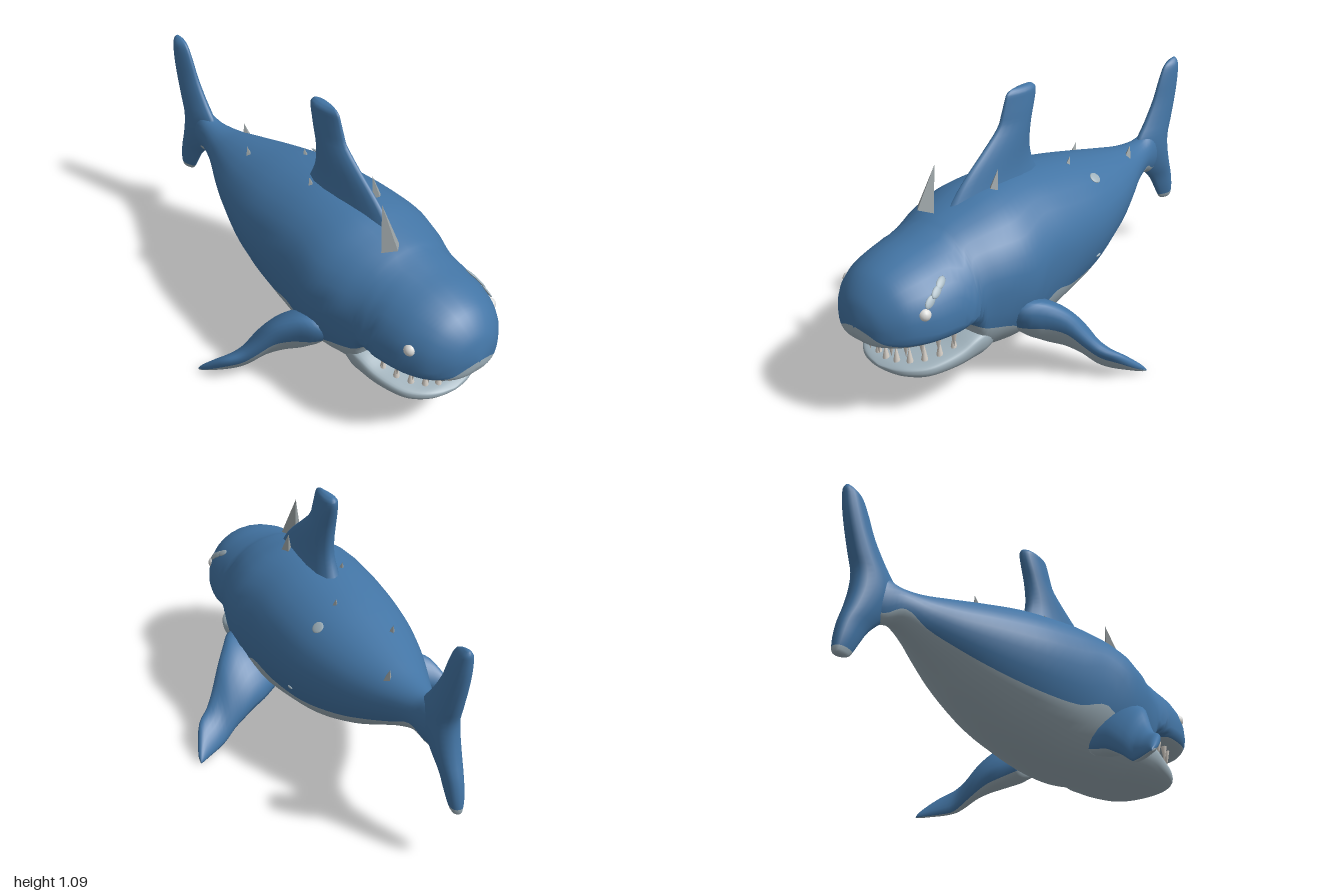
import * as THREE from 'three';

const mat = (name, color) => Object.assign(new THREE.MeshStandardMaterial({ color }), { name });

// Catmull-Rom subdivision of rows of numbers
function smooth(rows, n) {
  const out = [], at = i => rows[Math.max(0, Math.min(rows.length - 1, i))];
  for (let i = 0; i < rows.length - 1; i++) for (let k = 0; k < n; k++) {
    const t = k / n;
    out.push(rows[i].map((b, c) => {
      const a = at(i - 1)[c], d = at(i + 1)[c], e = at(i + 2)[c];
      return b + 0.5 * t * (d - a + t * (2 * a - 5 * b + 4 * d - e + t * (3 * (b - d) + e - a)));
    }));
  }
  out.push(rows[rows.length - 1]);
  return out;
}

// Closed skin over rings of points; pick(i, j) gives the material of each face
function loft(name, rings, materials, pick = () => 0) {
  const K = rings[0].length, N = rings.length, pos = [], lists = materials.map(() => []);
  const mid = r => r.reduce((s, p) => s.map((v, c) => v + p[c] / K), [0, 0, 0]);
  rings.forEach(r => r.forEach(p => pos.push(...p)));
  pos.push(...mid(rings[0]), ...mid(rings[N - 1]));
  for (let j = 0; j < K; j++) {
    const j2 = (j + 1) % K;
    for (let i = 0; i < N - 1; i++) {
      const a = i * K + j, b = i * K + j2, c = a + K, d = b + K;
      lists[pick(i, j)].push(a, b, d, a, d, c);
    }
    lists[pick(0, j)].push(N * K, j2, j);
    lists[pick(N - 2, j)].push(N * K + 1, (N - 1) * K + j, (N - 1) * K + j2);
  }
  // turn the faces outwards if the enclosed volume is negative
  const V = i => new THREE.Vector3().fromArray(pos, i * 3);
  let volume = 0;
  for (const l of lists) for (let i = 0; i < l.length; i += 3) volume += V(l[i]).dot(V(l[i + 1]).cross(V(l[i + 2])));
  if (volume < 0) for (const l of lists) l.reverse();
  const g = new THREE.BufferGeometry();
  g.setAttribute('position', new THREE.Float32BufferAttribute(pos, 3));
  g.setIndex(lists.flat());
  let start = 0;
  lists.forEach((l, m) => { g.addGroup(start, l.length, m); start += l.length; });
  g.computeVertexNormals();
  const mesh = new THREE.Mesh(g, materials.length > 1 ? materials : materials[0]);
  mesh.name = name;
  return mesh;
}

// Body section; row = z, top, bottom, half width, height of widest point, colour line, lower roundness
const M = 18;
function section([z, top, bot, w, cy, line, pl], pu) {
  const up = line > cy, h = up ? top - cy : cy - bot, p = up ? pu : pl;
  const r = Math.max(-0.99, Math.min(0.99, (line - cy) / h));
  const a = Math.asin(Math.sign(r) * Math.abs(r) ** (1 / p));
  const ring = [];
  for (let j = 0; j < 2 * M; j++) {
    const t = j < M ? a + (Math.PI - 2 * a) * j / M : Math.PI - a + (Math.PI + 2 * a) * (j - M) / M;
    const s = Math.sin(t), c = Math.cos(t), q = s > 0 ? pu : pl;
    ring.push([w * Math.sign(c) * Math.abs(c) ** q,
      cy + (s > 0 ? top - cy : cy - bot) * Math.sign(s) * Math.abs(s) ** q, z]);
  }
  return ring;
}

// Upright fin, thinner in front; row = y, front z, back z, half thickness
const finRing = ([y, f, b, t]) => Array.from({ length: 16 }, (_, j) => {
  const a = j / 8 * Math.PI;
  return [t * Math.sin(a) * (1 - 0.4 * Math.cos(a)), y, (f + b) / 2 + (f - b) / 2 * Math.cos(a)];
});

export function createModel() {
  const model = new THREE.Group();
  const blue = mat('skinBlue', 0x4375a5), pale = mat('bellyGrey', 0x9eb0ba);
  const ivory = mat('toothIvory', 0xd6d0c8), stone = mat('spikeGrey', 0x9aa2a4), white = mat('eyeWhite', 0xdcdcda);

  // Head and body from nose to tail root, stepping down behind the open mouth
  const body = [
    [1, 0.43, 0.40, 0.01, 0.415, 0.427, 0.55], [0.99, 0.475, 0.37, 0.06, 0.42, 0.41, 0.55],
    [0.97, 0.525, 0.352, 0.115, 0.42, 0.382, 0.55], [0.93, 0.575, 0.343, 0.168, 0.42, 0.369, 0.55],
    [0.88, 0.61, 0.337, 0.208, 0.42, 0.366, 0.55], [0.8, 0.638, 0.333, 0.243, 0.42, 0.36, 0.55],
    [0.7, 0.658, 0.328, 0.26, 0.42, 0.355, 0.55], [0.61, 0.682, 0.32, 0.264, 0.42, 0.335, 0.6],
    [0.56, 0.699, 0.15, 0.272, 0.43, 0.315, 0.8], [0.47, 0.723, 0.128, 0.30, 0.45, 0.29, 0.82],
    [0.35, 0.75, 0.108, 0.32, 0.46, 0.25, 0.85], [0.2, 0.757, 0.105, 0.308, 0.47, 0.33, 0.88],
    [0.05, 0.747, 0.12, 0.297, 0.47, 0.295, 0.95], [-0.15, 0.715, 0.165, 0.272, 0.47, 0.30, 1],
    [-0.35, 0.668, 0.25, 0.215, 0.48, 0.34, 1], [-0.5, 0.632, 0.335, 0.155, 0.49, 0.39, 1],
    [-0.62, 0.605, 0.40, 0.10, 0.51, 0.44, 1], [-0.72, 0.60, 0.437, 0.067, 0.52, 0.49, 1],
    [-0.8, 0.62, 0.42, 0.052, 0.52, 0.45, 1], [-0.88, 0.60, 0.44, 0.03, 0.52, 0.45, 1]];
  model.add(loft('body', smooth(body, 4).map(r => section(r, 1)), [blue, pale], (i, j) => (j < M ? 0 : 1)));

  // Lower jaw
  const jaw = [
    [0.44, 0.28, 0.145, 0.215, 0.25, 0.25, 0.9], [0.54, 0.305, 0.13, 0.246, 0.255, 0.255, 0.9],
    [0.6, 0.293, 0.132, 0.246, 0.25, 0.25, 0.9],
    [0.67, 0.262, 0.138, 0.234, 0.228, 0.228, 0.9], [0.75, 0.242, 0.146, 0.21, 0.212, 0.212, 0.9],
    [0.81, 0.23, 0.154, 0.178, 0.202, 0.202, 0.9], [0.86, 0.222, 0.17, 0.125, 0.2, 0.2, 0.9],
    [0.885, 0.212, 0.185, 0.07, 0.2, 0.2, 0.9], [0.895, 0.205, 0.195, 0.01, 0.2, 0.2, 0.9]];
  model.add(loft('lowerJaw', smooth(jaw, 4).map(r => section(r, 0.55)), [pale]));

  // Dorsal and tail fins
  const dorsal = [
    [0.68, 0.52, -0.03, 0.07], [0.76, 0.45, 0.012, 0.052], [0.82, 0.38, 0.035, 0.045], [0.88, 0.3, 0.04, 0.042],
    [0.95, 0.215, 0.03, 0.038], [1.0, 0.19, 0.015, 0.035], [1.05, 0.172, 0, 0.03], [1.08, 0.158, 0, 0.025],
    [1.093, 0.13, 0.02, 0.008]];
  model.add(loft('dorsalFin', smooth(dorsal, 3).map(finRing), [blue]));
  const tail = [
    [0.23, -0.95, -0.985, 0.008], [0.245, -0.92, -0.998, 0.02], [0.3, -0.885, -0.995, 0.03],
    [0.37, -0.84, -0.98, 0.036], [0.44, -0.77, -0.955, 0.045], [0.52, -0.71, -0.935, 0.05],
    [0.59, -0.72, -0.93, 0.048], [0.66, -0.775, -0.95, 0.043], [0.75, -0.835, -0.975, 0.037],
    [0.83, -0.87, -0.993, 0.032], [0.89, -0.9, -1, 0.026], [0.915, -0.925, -1, 0.018], [0.93, -0.965, -0.99, 0.006]];
  model.add(loft('tailFin', smooth(tail, 3).map(finRing), [blue, pale], i => (i < 4 ? 1 : 0)));

  // Pectoral fins; row = x, leading z and y, trailing z and y, half thickness
  const pectoral = [
    [0.18, 0.41, 0.32, 0.2, 0.17, 0.06], [0.26, 0.43, 0.345, 0.16, 0.14, 0.078], [0.32, 0.41, 0.355, 0.14, 0.12, 0.078],
    [0.37, 0.345, 0.335, 0.128, 0.092, 0.065], [0.42, 0.285, 0.29, 0.118, 0.06, 0.05], [0.47, 0.235, 0.21, 0.1, 0.022, 0.038],
    [0.515, 0.195, 0.15, 0.075, 0.012, 0.032], [0.57, 0.15, 0.115, 0.045, 0.008, 0.024],
    [0.605, 0.085, 0.06, 0.025, 0.006, 0.015], [0.62, 0.045, 0.028, 0.02, 0.005, 0.006]];
  for (const side of [1, -1]) {
    const rings = smooth(pectoral, 3).map(([x, lz, ly, tz, ty, th]) => {
      const dz = (lz - tz) / 2, dy = (ly - ty) / 2, len = Math.hypot(dz, dy);
      return Array.from({ length: 20 }, (_, j) => {
        const a = j / 10 * Math.PI, c = Math.cos(a), s = Math.sin(a) * th / len;
        return [side * x, Math.max(0, (ly + ty) / 2 + dy * c + dz * s), (lz + tz) / 2 + dz * c - dy * s];
      });
    });
    model.add(loft(side > 0 ? 'leftPectoralFin' : 'rightPectoralFin', rings, [blue, pale], (i, j) => (j >= 10 && j < 17 ? 1 : 0)));
  }

  // Teeth along both jaws
  const toothGeo = new THREE.ConeGeometry(0.014, 0.07, 8);
  const teeth = (name, n, width, length, y, rise, down) => {
    const row = new THREE.Group();
    row.name = name;
    for (let i = 0; i < n; i++) {
      const a = (i / (n - 1) - 0.5) * 2.7, back = 1 - Math.cos(a);
      const tooth = new THREE.Mesh(toothGeo, ivory);
      tooth.name = 'tooth';
      tooth.position.set(width * Math.sin(a), y + rise * back, 0.62 + length * Math.cos(a));
      if (down) tooth.rotation.x = Math.PI;
      row.add(tooth);
    }
    model.add(row);
  };
  teeth('upperTeeth', 12, 0.2, 0.29, 0.308, -0.008, true);
  teeth('lowerTeeth', 11, 0.185, 0.235, 0.255, 0.035, false);

  // Thin oval patch lying on the skin
  const ballGeo = new THREE.SphereGeometry(1, 16, 10);
  const patch = (name, p, n, dir, length, width) => {
    const normal = new THREE.Vector3(...n).normalize(), along = new THREE.Vector3(...dir);
    along.addScaledVector(normal, -along.dot(normal)).normalize();
    const m = new THREE.Mesh(ballGeo, pale);
    m.name = name;
    m.quaternion.setFromRotationMatrix(new THREE.Matrix4().makeBasis(along, normal.clone().cross(along), normal));
    m.scale.set(length, width, 0.0049);
    m.position.set(...p);
    model.add(m);
  };
  for (const [p, n] of [
    [[0.21, 0.527, 0.812], [3.64, 2.29, 0.9]], [[0.206, 0.551, 0.775], [3.26, 2.57, 0.6]], [[0.195, 0.571, 0.742], [2.97, 2.83, 0.4]]])
    patch('browStreak', p, n, [-0.03, 0.05, -0.09], 0.03, 0.016);
  patch('backPatch', [0.173, 0.654, -0.19], [0.61, 0.79, -0.12], [0, 0, 1], 0.027, 0.025);
  patch('flankPatch', [0.262, 0.355, -0.11], [0.9, -0.4, -0.1], [0, 0, 1], 0.016, 0.006);

  // Eyes set into the head
  for (const side of [1, -1]) {
    const eye = new THREE.Mesh(ballGeo, white);
    eye.name = side > 0 ? 'leftEye' : 'rightEye';
    eye.scale.setScalar(0.026);
    eye.position.set(side * 0.203, 0.482, 0.837);
    model.add(eye);
  }

  // Four-sided back spikes; row = x, base y, z, height, radius
  for (const [x, y, z, h, r] of [
    [-0.065, 0.71, 0.555, 0.18, 0.045], [0.07, 0.755, 0.315, 0.082, 0.022], [-0.07, 0.73, 0.08, 0.04, 0.015],
    [0.07, 0.695, -0.135, 0.042, 0.015], [-0.07, 0.65, -0.35, 0.04, 0.014], [0.065, 0.59, -0.56, 0.055, 0.018]]) {
    const geo = new THREE.ConeGeometry(r, h, 4).toNonIndexed();
    geo.computeVertexNormals();
    geo.translate(0, h / 2, 0);
    const spike = new THREE.Mesh(geo, stone);
    spike.name = 'backSpike';
    spike.position.set(x, y, z);
    spike.rotation.x = -0.32;
    model.add(spike);
  }
  return model;
}
